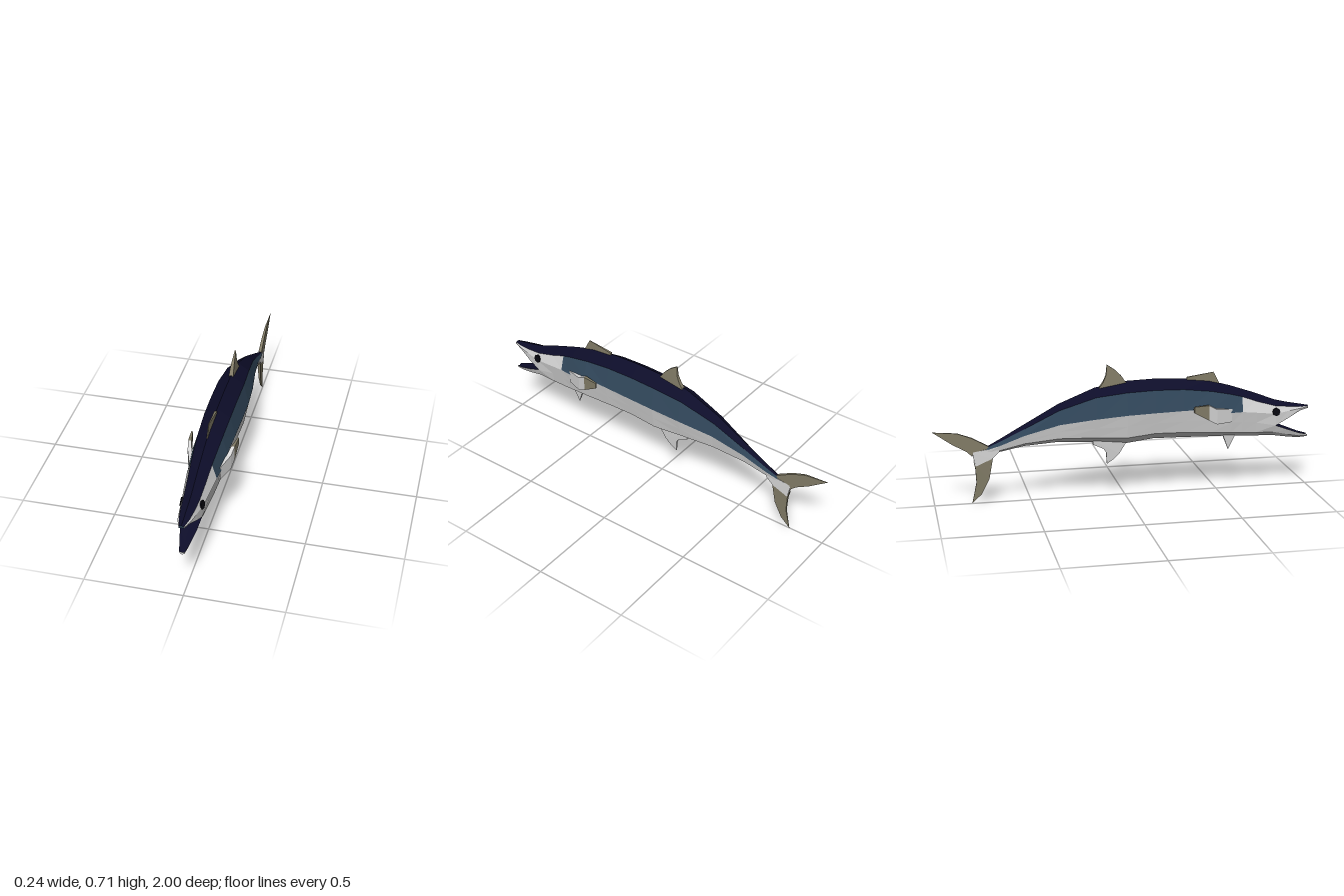
import * as THREE from 'three';

const flat = (name, color) => {
  const m = new THREE.MeshStandardMaterial({ color, flatShading: true });
  m.name = name;
  return m;
};

export function createModel() {
  const model = new THREE.Group();
  const navy = flat('navy', 0x0d0d29);
  const blue = flat('slateBlue', 0x32485c);
  const white = flat('paleGrey', 0xd6d6d6);
  const olive = flat('oliveGrey', 0x827c67);
  const black = flat('eyeBlack', 0x07070f);

  const add = (name, geo, mat) => {
    const mesh = new THREE.Mesh(geo, mat);
    mesh.name = name;
    model.add(mesh);
    return mesh;
  };

  // Skin over rows of [x, y, z] points (front to back), built for +x and mirrored to -x
  const loft = (name, rows, mat) => {
    const pos = [];
    for (const side of [1, -1]) {
      for (let i = 0; i < rows.length - 1; i++) {
        for (let k = 0; k < rows[i].length - 1; k++) {
          const a = rows[i][k], b = rows[i][k + 1], c = rows[i + 1][k + 1], d = rows[i + 1][k];
          const order = side > 0 ? [a, b, c, a, c, d] : [a, c, b, a, d, c];
          for (const p of order) pos.push(p[0] * side, p[1], p[2]);
        }
      }
    }
    const geo = new THREE.BufferGeometry();
    geo.setAttribute('position', new THREE.Float32BufferAttribute(pos, 3));
    geo.computeVertexNormals();
    return add(name, geo, mat);
  };
  const collapsed = (row, p) => row.map(() => p);

  // Body stations: z, top y, shoulder x/y, flank x/y, lower x/y, belly y
  const rings = [
    [0.81, 0.477, 0.04, 0.45, 0.053, 0.41, 0.035, 0.305, 0.279],
    [0.70, 0.52, 0.047, 0.483, 0.066, 0.425, 0.046, 0.312, 0.283],
    [0.62, 0.547, 0.052, 0.513, 0.075, 0.435, 0.054, 0.318, 0.288],
    [0.56, 0.567, 0.056, 0.529, 0.081, 0.435, 0.058, 0.323, 0.29],
    [0.45, 0.597, 0.062, 0.552, 0.088, 0.463, 0.064, 0.33, 0.292],
    [0.30, 0.615, 0.067, 0.57, 0.092, 0.462, 0.069, 0.34, 0.296],
    [0.15, 0.62, 0.068, 0.573, 0.094, 0.458, 0.07, 0.343, 0.298],
    [0, 0.615, 0.068, 0.567, 0.093, 0.452, 0.068, 0.326, 0.279],
    [-0.16, 0.587, 0.058, 0.547, 0.08, 0.437, 0.056, 0.333, 0.296],
    [-0.35, 0.51, 0.038, 0.483, 0.052, 0.41, 0.036, 0.333, 0.307],
    [-0.53, 0.41, 0.02, 0.39, 0.03, 0.357, 0.02, 0.312, 0.295],
    [-0.66, 0.337, 0.012, 0.326, 0.018, 0.306, 0.012, 0.28, 0.27],
    [-0.72, 0.305, 0.008, 0.3, 0.012, 0.288, 0.008, 0.25, 0.238],
  ].map(([z, t, sx, sy, mx, my, lx, ly, b]) => [
    [0, t, z], [sx, sy, z], [mx, my, z], [(mx + lx) / 2, (my + ly) / 2, z], [lx, ly, z], [0, b, z],
  ]);
  rings[0][3] = [0.049, 0.345, 0.81]; // corner of the mouth
  const tailEnd = [0, 0.27, -0.76];
  rings.push(collapsed(rings[0], tailEnd));

  const band = (from, to, k0, k1) => rings.slice(from, to).map((r) => r.slice(k0, k1 + 1));
  loft('back', band(0, 14, 0, 1), navy);
  loft('cheeks', band(0, 3, 1, 2), white);
  loft('flanks', band(2, 14, 1, 2), blue);
  loft('belly', band(0, 14, 2, 5), white);

  // Upper jaw: ridge, shoulder, cheek, lip
  const upper = [
    [[0, 0.437, 1], [0.012, 0.434, 1], [0.014, 0.43, 1], [0.013, 0.424, 1]],
    [[0, 0.447, 0.95], [0.025, 0.436, 0.95], [0.032, 0.428, 0.95], [0.028, 0.415, 0.95]],
    [[0, 0.46, 0.88], [0.035, 0.443, 0.88], [0.043, 0.42, 0.88], [0.042, 0.38, 0.88]],
    rings[0].slice(0, 4),
  ];
  loft('snoutTop', upper.map((r) => r.slice(0, 2)), navy);
  loft('upperJaw', upper.map((r) => r.slice(1, 4)), white);
  const snoutRing = [...upper[0], [0, 0.426, 1]];
  loft('snoutTip', [collapsed(snoutRing, [0, 0.431, 1]), snoutRing], blue);
  loft('mouthRoof', upper.map((r) => [r[3], [0, r[3][1] + (r[3][2] > 0.82 ? 0.004 : 0), r[3][2]]]), navy);

  // Lower jaw: lip, lower edge, chin
  const lower = [
    [[0.014, 0.278, 1], [0.011, 0.268, 1], [0, 0.263, 1]],
    [[0.026, 0.291, 0.95], [0.019, 0.272, 0.95], [0, 0.259, 0.95]],
    [[0.041, 0.318, 0.88], [0.029, 0.288, 0.88], [0, 0.268, 0.88]],
    rings[0].slice(3, 6),
  ];
  loft('lowerJaw', lower, white);
  const chinRing = [[0, 0.276, 1], ...lower[0]];
  loft('chinTip', [collapsed(chinRing, [0, 0.27, 1]), chinRing], white);
  loft('mouthFloor', lower.map((r) => [[0, r[0][1] - (r[0][2] > 0.82 ? 0.005 : 0), r[0][2]], r[0]]), navy);

  // Eyes: thin octagonal discs lying on the cheeks
  for (const side of [1, -1]) {
    const eye = add(side > 0 ? 'leftEye' : 'rightEye', new THREE.CylinderGeometry(0.022, 0.022, 0.009, 8), black);
    eye.position.set(side * 0.0515, 0.42, 0.81);
    eye.quaternion.setFromUnitVectors(
      new THREE.Vector3(0, 1, 0), new THREE.Vector3(side, 0.16, 0.12).normalize());
  }

  // Plate fin from a [z, y] outline, thinning from root to tip
  const fin = (name, outline, root, tip, thick, thin, mat) => {
    const shape = new THREE.Shape(outline.map(([z, y]) => new THREE.Vector2(z, y)));
    const geo = new THREE.ExtrudeGeometry(shape, { depth: 1, bevelEnabled: false });
    geo.translate(0, 0, -0.5).rotateY(-Math.PI / 2);
    const p = geo.attributes.position;
    const dz = tip[0] - root[0], dy = tip[1] - root[1];
    for (let i = 0; i < p.count; i++) {
      const t = ((p.getZ(i) - root[0]) * dz + (p.getY(i) - root[1]) * dy) / (dz * dz + dy * dy);
      p.setX(i, p.getX(i) * THREE.MathUtils.lerp(thick, thin, THREE.MathUtils.clamp(t, 0, 1)));
    }
    geo.computeVertexNormals();
    add(name, geo, mat);
  };

  fin('frontDorsalFin', [[0.51, 0.575], [0.475, 0.642], [0.33, 0.62], [0.33, 0.6]],
    [0.42, 0.58], [0.475, 0.642], 0.012, 0.003, olive);
  fin('rearDorsalFin', [[0.01, 0.6], [-0.02, 0.645], [-0.05, 0.675], [-0.095, 0.706], [-0.1, 0.65], [-0.115, 0.615], [-0.14, 0.58]],
    [-0.06, 0.6], [-0.095, 0.706], 0.024, 0.006, olive);
  fin('pelvicFin', [[0.6, 0.3], [0.562, 0.214], [0.53, 0.3]],
    [0.565, 0.29], [0.562, 0.214], 0.02, 0.004, white);
  fin('analFin', [[0.01, 0.295], [-0.03, 0.228], [-0.06, 0.198], [-0.096, 0.172], [-0.1, 0.235], [-0.115, 0.258], [-0.17, 0.283], [-0.17, 0.31]],
    [-0.07, 0.29], [-0.096, 0.172], 0.024, 0.004, white);
  fin('tailRoot', [[-0.66, 0.292], [-0.72, 0.29], [-0.8, 0.277], [-0.785, 0.2], [-0.7, 0.238], [-0.66, 0.275]],
    [-0.68, 0.27], [-0.8, 0.26], 0.027, 0.014, white);
  fin('upperTailLobe', [[-0.7, 0.295], [-0.8, 0.352], [-0.875, 0.38], [-1, 0.392], [-0.9, 0.322], [-0.83, 0.283], [-0.8, 0.255], [-0.795, 0.277]],
    [-0.76, 0.29], [-1, 0.392], 0.018, 0.002, olive);
  fin('lowerTailLobe', [[-0.695, 0.238], [-0.715, 0.13], [-0.755, 0.05], [-0.807, 0], [-0.782, 0.11], [-0.786, 0.19], [-0.797, 0.24], [-0.785, 0.205]],
    [-0.74, 0.22], [-0.807, 0], 0.016, 0.002, olive);

  // Pectoral fins: curved blades with a dark trailing end
  const blade = [
    [0.56, 0.078, 0.055, 0.455, 0.385],
    [0.47, 0.109, 0.088, 0.465, 0.385],
    [0.425, 0.118, 0.1, 0.49, 0.41],
    [0.345, 0.122, 0.114, 0.487, 0.455],
  ].map(([z, xo, xi, yt, yb]) => [[xo, yt, z], [xo, yb, z], [xi, yb, z], [xi, yt, z], [xo, yt, z]]);
  loft('pectoralFins', [collapsed(blade[0], [0.066, 0.42, 0.56]), ...blade.slice(0, 3)], white);
  loft('pectoralFinTips', [blade[2], blade[3], collapsed(blade[3], [0.118, 0.475, 0.34])], olive);

  return model;
}
